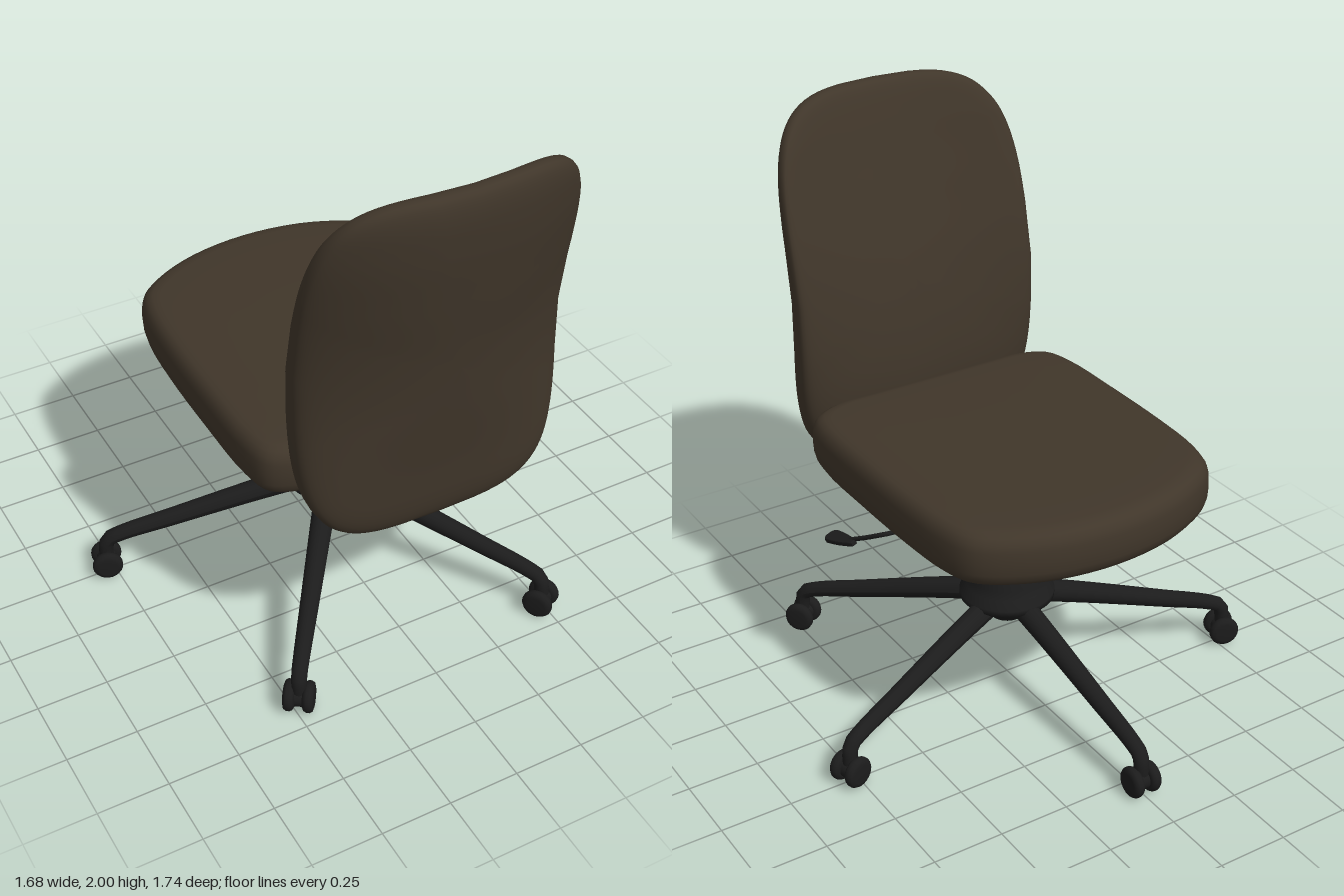
import * as THREE from 'three';

const V = (x, y, z) => new THREE.Vector3(x, y, z);
const { lerp, smoothstep } = THREE.MathUtils;

const fabric = new THREE.MeshStandardMaterial({ color: 0x40362a });
const black = new THREE.MeshStandardMaterial({ color: 0x1c1c1c });
const grey = new THREE.MeshStandardMaterial({ color: 0xcccccc });

function add(parent, name, geometry, material) {
  const mesh = new THREE.Mesh(geometry, material);
  mesh.name = name;
  parent.add(mesh);
  return mesh;
}

// Smooth closed skin: rings run from pole to pole, each a loop of segs points
function skin(rings, segs, pointAt) {
  const positions = [], index = [];
  for (let i = 0; i <= rings; i++)
    for (let j = 0; j < segs; j++) positions.push(...pointAt(i, j / segs));
  for (let i = 0; i < rings; i++)
    for (let j = 0; j < segs; j++) {
      const k = (j + 1) % segs;
      const a = i * segs + j, b = a + segs, c = i * segs + k, d = c + segs;
      if (i > 0) index.push(a, b, c);
      if (i < rings - 1) index.push(c, b, d);
    }
  const g = new THREE.BufferGeometry();
  g.setAttribute('position', new THREE.Float32BufferAttribute(positions, 3));
  g.setIndex(index);
  g.computeVertexNormals();
  return g;
}

// Tube whose radius shrinks from r0 to r1 along its path
function taperedTube(points, r0, r1, n = 32, sides = 14) {
  const curve = new THREE.CatmullRomCurve3(points);
  const g = new THREE.TubeGeometry(curve, n, 1, sides);
  const pos = g.attributes.position, v = V(0, 0, 0);
  for (let i = 0; i < pos.count; i++) {
    const t = Math.floor(i / (sides + 1)) / n;
    const centre = curve.getPointAt(t);
    v.fromBufferAttribute(pos, i).sub(centre).multiplyScalar(lerp(r0, r1, t)).add(centre);
    pos.setXYZ(i, v.x, v.y, v.z);
  }
  g.computeVertexNormals();
  return g;
}

const lathe = (profile, sides = 36) =>
  new THREE.LatheGeometry(profile.map(([r, y]) => new THREE.Vector2(r, y)), sides);

// Seat: plan outline scaled through a rounded edge profile
function seatGeometry() {
  const half = [[0.25, 0.53], [0.4, 0.525], [0.49, 0.48], [0.52, 0.38], [0.527, 0.1], [0.522, -0.2],
    [0.505, -0.4], [0.47, -0.51], [0.39, -0.58], [0.22, -0.652]];
  const loop = [[0, 0.53], ...half, [0, -0.68], ...half.map(([x, z]) => [-x, z]).reverse()];
  const outline = new THREE.CatmullRomCurve3(loop.map(([x, z]) => V(x, 0, z)), true);
  const upper = [[0, 0.103], [0.4, 0.103], [0.75, 0.102], [0.89, 0.099], [0.935, 0.094], [0.965, 0.083],
    [0.986, 0.064], [0.996, 0.04]];
  const profile = [...upper, [1, 0], ...upper.map(([s, h]) => [s, -h]).reverse()];
  return skin(profile.length - 1, 88, (i, t) => {
    const p = outline.getPoint(t), [s, h] = profile[i];
    return [p.x * s, 0.884 + h, p.z * s];
  });
}

// Backrest: rounded-rectangle cushion, leaning back and wrapping round more towards the top
function backrestGeometry() {
  const power = (c) => Math.sign(c) * Math.abs(c) ** (2 / 4.2);
  const rings = 36;
  const lean = new THREE.SplineCurve([[0.68, 0.655], [0.92, 0.64], [1.16, 0.662], [1.4, 0.7], [1.64, 0.755],
    [1.85, 0.802], [2, 0.826]].map(([y, z]) => new THREE.Vector2(y, z)));
  const middle = (y) => {
    const p = lean.points;
    let k = 0;
    while (k < p.length - 2 && y > p[k + 1].x) k++;
    return lean.getPoint((k + (y - p[k].x) / (p[k + 1].x - p[k].x)) / (p.length - 1)).y;
  };
  return skin(rings, 88, (i, t) => {
    const phi = Math.PI * i / rings, a = 2 * Math.PI * t, s = Math.sin(phi);
    const x = 0.472 * s * power(Math.cos(a));
    const y = 1.34 + 0.66 * s * power(Math.sin(a));
    const side = Math.cos(phi);
    const thickness = lerp(0.125, 0.077, smoothstep(y, 0.8, 2));
    const wrap = lerp(0.12, 0.52, smoothstep(y, 0.75, 1.45));
    const bulge = Math.sign(side) * Math.abs(side) ** 0.62 * thickness;
    return [x + 0.012, y, middle(Math.min(2, Math.max(0.68, y))) + bulge - wrap * x * x];
  });
}

// One spoke of the base with its twin-wheel caster, pointing along +z
function baseLeg() {
  const leg = new THREE.Group();
  leg.name = 'baseLeg';
  add(leg, 'spoke', taperedTube([V(0, 0.338, 0.08), V(0, 0.287, 0.3), V(0, 0.216, 0.58), V(0, 0.17, 0.76),
    V(0, 0.147, 0.808), V(0, 0.105, 0.818), V(0, 0.055, 0.818)], 0.043, 0.025), black);
  const wheel = lathe([[0, -0.02], [0.038, -0.02], [0.049, -0.014], [0.054, -0.005], [0.054, 0.007],
    [0.048, 0.016], [0.034, 0.02], [0, 0.02]], 24);
  for (const side of [-1, 1]) {
    const m = add(leg, 'casterWheel', wheel, black);
    m.rotation.z = -side * Math.PI / 2;
    m.position.set(side * 0.033, 0.054, 0.818);
  }
  const axle = add(leg, 'casterAxle', new THREE.CylinderGeometry(0.036, 0.036, 0.06, 20), black);
  axle.rotation.z = Math.PI / 2;
  axle.position.set(0, 0.054, 0.818);
  return leg;
}

export function createModel() {
  const chair = new THREE.Group();
  chair.name = 'officeChair';

  add(chair, 'seat', seatGeometry(), fabric);
  add(chair, 'backrest', backrestGeometry(), fabric);

  // Central column
  add(chair, 'baseHub', lathe([[0, 0.243], [0.04, 0.245], [0.06, 0.255], [0.072, 0.275], [0.1, 0.29],
    [0.14, 0.318], [0.168, 0.342], [0.168, 0.362], [0.145, 0.39], [0.133, 0.42], [0.128, 0.45], [0.116, 0.475],
    [0.093, 0.496], [0.083, 0.515], [0.08, 0.532], [0, 0.532]]), black);
  add(chair, 'gasColumn', lathe([[0.071, 0.52], [0.068, 0.56], [0.066, 0.6], [0.068, 0.635], [0.075, 0.67]]), grey);
  add(chair, 'seatMount', lathe([[0, 0.655], [0.076, 0.655], [0.088, 0.668], [0.108, 0.695], [0.117, 0.73],
    [0.117, 0.795]]), black);

  // Five-spoke base
  for (let i = 0; i < 5; i++) {
    const leg = baseLeg();
    leg.rotation.y = Math.PI + i * 2 * Math.PI / 5;
    chair.add(leg);
  }

  // Height lever: cranked rod ending in a flat paddle that widens to its tip
  add(chair, 'leverRod', taperedTube([V(0.08, 0.735, 0), V(0.3, 0.733, 0), V(0.46, 0.728, 0.005),
    V(0.485, 0.722, 0.02), V(0.51, 0.695, 0.07), V(0.54, 0.66, 0.14)], 0.009, 0.008, 40, 8), black);
  const tip = new THREE.Shape();
  tip.moveTo(-0.008, -0.07);
  tip.lineTo(0.008, -0.07);
  tip.quadraticCurveTo(0.026, -0.01, 0.026, 0.045);
  tip.quadraticCurveTo(0.024, 0.062, 0, 0.062);
  tip.quadraticCurveTo(-0.024, 0.062, -0.026, 0.045);
  tip.quadraticCurveTo(-0.026, -0.01, -0.008, -0.07);
  const paddleGeometry = new THREE.ExtrudeGeometry(tip, { depth: 0.008, bevelThickness: 0.005, bevelSize: 0.003, bevelSegments: 2 });
  paddleGeometry.translate(0, 0, -0.004).rotateX(Math.PI / 2);
  const paddle = add(chair, 'leverPaddle', paddleGeometry, black);
  paddle.position.set(0.555, 0.647, 0.18);
  paddle.rotation.set(0.2, 0.2, -0.25);

  return chair;
}
